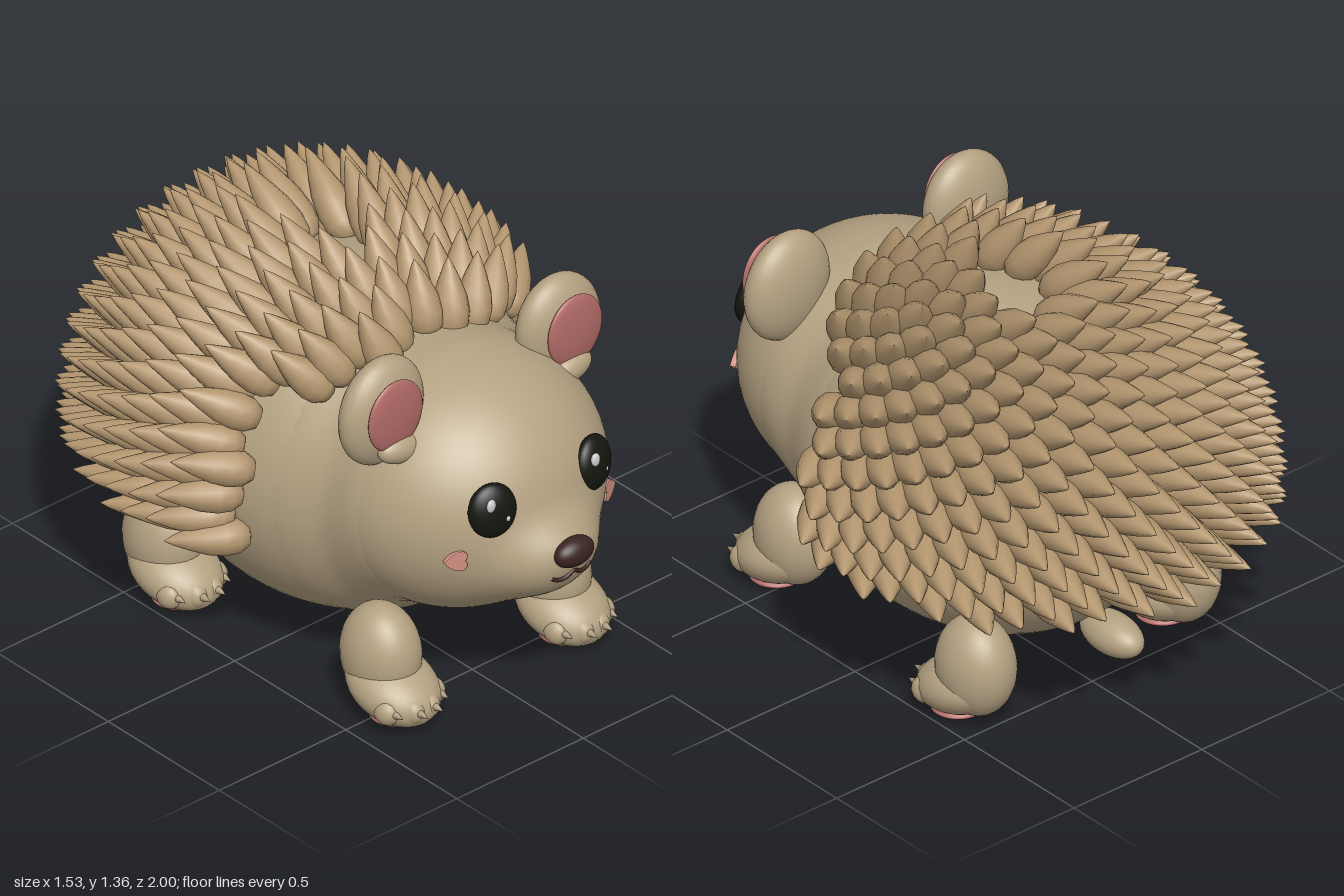
import * as THREE from 'three';
import { mergeGeometries } from 'three/addons/utils/BufferGeometryUtils.js';

const mat = (color) => new THREE.MeshStandardMaterial({ color });
const FUR = mat(0xb5a282), QUILL = mat(0xb3966f), PINK = mat(0xb06a66), BLUSH = mat(0xd08f80);
const DARK = mat(0x14160f), NOSE = mat(0x3a2420), WHITE = mat(0xf2f2f2), CLAW = mat(0xa8977a);
const { lerp, smoothstep } = THREE.MathUtils;

function add(parent, name, geometry, material) {
  const mesh = new THREE.Mesh(geometry, material);
  mesh.name = name;
  parent.add(mesh);
  return mesh;
}

// Ellipsoid at a position with three radii
function blob(parent, name, material, [x, y, z], [rx, ry, rz], seg = 32) {
  const mesh = add(parent, name, new THREE.SphereGeometry(1, seg, Math.round(seg * 0.7)), material);
  mesh.position.set(x, y, z);
  mesh.scale.set(rx, ry, rz);
  return mesh;
}

const BODY = new THREE.Vector3(0, 0.62, -0.05);
const BODY_R = new THREE.Vector3(0.56, 0.55, 0.64);
const HEAD = new THREE.Vector3(0, 0.695, 0.44);
const HEAD_R = new THREE.Vector3(0.45, 0.415, 0.44);

// Round head whose front swells into a blunt snout
function headGeometry() {
  const g = new THREE.SphereGeometry(1, 80, 64);
  g.scale(...HEAD_R.toArray());
  g.translate(...HEAD.toArray());
  const p = g.attributes.position;
  for (let i = 0; i < p.count; i++) {
    const x = p.getX(i), y = p.getY(i), z = p.getZ(i);
    const front = smoothstep(z, 0.45, 0.72);
    const d = Math.hypot(x / 0.19, (y - 0.57) / 0.145);
    p.setZ(i, z + 0.095 * front * Math.exp(-(d ** 3.5)));
  }
  g.computeVertexNormals();
  return g;
}

// Neck: a tube of ellipses that rounds off the crease, its rims tucked under the skin
function neckGeometry() {
  const softMax = (a, b) => 0.5 * (a + b + Math.hypot(a - b, 0.045));
  const slice = (c, r, z) => Math.sqrt(Math.max(0, 1 - ((z - c.z) / r.z) ** 2));
  const g = new THREE.CylinderGeometry(1, 1, 1, 64, 28, true).rotateX(Math.PI / 2);
  const p = g.attributes.position;
  for (let i = 0; i < p.count; i++) {
    const t = p.getZ(i), z = 0.35 + 0.42 * t, tuck = 0.014 * (2 * t) ** 4;
    const b = slice(BODY, BODY_R, z), h = slice(HEAD, HEAD_R, z);
    const top = softMax(BODY.y + BODY_R.y * b, HEAD.y + HEAD_R.y * h) - tuck;
    const bottom = tuck - softMax(BODY_R.y * b - BODY.y, HEAD_R.y * h - HEAD.y);
    const width = softMax(BODY_R.x * b, HEAD_R.x * h) - tuck;
    p.setXYZ(i, p.getX(i) * width, (top + bottom) / 2 + p.getY(i) * (top - bottom) / 2, z);
  }
  g.computeVertexNormals();
  return g;
}

// Teardrop quills in a spiral over the back: short and upright in front, longer and swept behind
function quillGeometry() {
  const profile = [[0, 0], [0.034, 0.01], [0.053, 0.045], [0.059, 0.095], [0.052, 0.16], [0.034, 0.225], [0.014, 0.285], [0, 0.315]];
  const quill = new THREE.LatheGeometry(profile.map(([r, y]) => new THREE.Vector2(r, y)), 12);
  const up = new THREE.Vector3(0, 1, 0);
  const list = [], count = 680, golden = Math.PI * (3 - Math.sqrt(5));
  for (let i = 0; i < count; i++) {
    const h = 1 - (2 * i + 1) / count, r = Math.sqrt(1 - h * h), a = i * golden;
    const root = new THREE.Vector3(r * Math.cos(a), h, r * Math.sin(a)).multiply(BODY_R);
    const normal = root.clone().divide(BODY_R).divide(BODY_R).normalize();
    root.add(BODY);
    const edge = 0.13 + 0.21 * smoothstep(root.y, 0.9, 1.06);
    const bald = (root.x / 0.12) ** 2 + ((root.z + 0.06) / 0.16) ** 2 < 1;
    if (root.y < 0.495 || root.z > edge || bald) continue;
    normal.y = Math.max(normal.y, 0);
    const back = smoothstep(-root.z, -0.3, 0.3);
    const dir = normal.clone().add(new THREE.Vector3(0, 0, -lerp(0.75, 1.1, back))).normalize();
    root.addScaledVector(normal, -0.008);
    const q = new THREE.Quaternion().setFromUnitVectors(up, dir);
    const size = new THREE.Vector3(1, lerp(0.78, 1.02, back), 1);
    list.push(quill.clone().applyMatrix4(new THREE.Matrix4().compose(root, q, size)));
  }
  return mergeGeometries(list);
}

// Small heart lying on its side, tip towards +x
function heartGeometry() {
  const s = new THREE.Shape();
  s.moveTo(0.035, 0);
  s.bezierCurveTo(0.02, 0.02, -0.005, 0.036, -0.022, 0.03);
  s.bezierCurveTo(-0.034, 0.025, -0.034, 0.008, -0.024, 0);
  s.bezierCurveTo(-0.034, -0.008, -0.034, -0.025, -0.022, -0.03);
  s.bezierCurveTo(-0.005, -0.036, 0.02, -0.02, 0.035, 0);
  return new THREE.ExtrudeGeometry(s, {
    depth: 0.012, bevelEnabled: true, bevelSize: 0.003, bevelThickness: 0.004, bevelSegments: 2, curveSegments: 10,
  });
}

// Leg with a rounded foot, toes, claws and a sole pad
function addLeg(parent, name, x, z) {
  const leg = new THREE.Group();
  leg.name = name;
  leg.position.set(x, 0, z);
  parent.add(leg);
  blob(leg, 'upperLeg', FUR, [0, 0.195, 0], [0.115, 0.165, 0.135]);
  blob(leg, 'foot', FUR, [0, 0.107, 0.055], [0.132, 0.092, 0.165]).rotation.x = 0.3;
  blob(leg, 'solePad', PINK, [0, 0.022, 0.075], [0.09, 0.021, 0.085]);
  for (const t of [-1.5, -0.5, 0.5, 1.5]) {
    const tx = t * 0.06, tz = 0.178 - 0.022 * t * t;
    blob(leg, 'toe', FUR, [tx, 0.082, tz], [0.037, 0.043, 0.045], 18);
    const claw = add(leg, 'claw', new THREE.ConeGeometry(0.018, 0.05, 12), CLAW);
    claw.position.set(tx, 0.088, tz + 0.05);
    claw.rotation.x = Math.PI / 2;
  }
}

export function createModel() {
  const model = new THREE.Group();
  model.name = 'hedgehog';

  blob(model, 'body', FUR, BODY.toArray(), BODY_R.toArray(), 56);
  add(model, 'head', headGeometry(), FUR);
  add(model, 'neck', neckGeometry(), FUR);
  add(model, 'quills', quillGeometry(), QUILL);
  blob(model, 'tail', FUR, [0, 0.215, -0.59], [0.07, 0.065, 0.125]);

  // Nose and mouth
  blob(model, 'nose', NOSE, [0, 0.642, 0.957], [0.072, 0.047, 0.042]);
  const lip = [[-0.075, 0.57, 0.942], [-0.056, 0.559, 0.948], [-0.028, 0.56, 0.953], [0, 0.575, 0.956],
    [0.028, 0.56, 0.953], [0.056, 0.559, 0.948], [0.075, 0.57, 0.942]];
  const mouth = new THREE.CatmullRomCurve3(lip.map((p) => new THREE.Vector3(...p)));
  add(model, 'mouth', new THREE.TubeGeometry(mouth, 40, 0.007, 8), NOSE);

  for (const s of [1, -1]) {
    const side = s > 0 ? 'left' : 'right';

    // Eyes with two highlights each
    const eye = blob(model, side + 'Eye', DARK, [s * 0.2, 0.805, 0.817], [0.078, 0.088, 0.038]);
    eye.rotation.set(-0.15, s * 0.28, 0);
    blob(model, side + 'EyeShine', WHITE, [s * 0.2 - 0.022, 0.838, s > 0 ? 0.852 : 0.839], [0.017, 0.023, 0.01], 16);
    blob(model, side + 'EyeGlint', WHITE, [s * 0.2 + 0.026, 0.785, s > 0 ? 0.846 : 0.86], [0.008, 0.009, 0.006], 12);

    // Cheek blush
    const cheek = new THREE.Group();
    add(cheek, side + 'Cheek', heartGeometry(), BLUSH).rotation.z = s > 0 ? 0 : Math.PI;
    cheek.position.set(s * 0.298, 0.645, 0.763);
    cheek.rotation.y = s * 0.45;
    model.add(cheek);

    // Ears
    blob(model, side + 'Ear', FUR, [s * 0.35, 1.065, 0.487], [0.155, 0.18, 0.078]).rotation.z = s * 0.15;
    blob(model, side + 'InnerEar', PINK, [s * 0.355, 1.08, 0.558], [0.106, 0.12, 0.022]);
    blob(model, side + 'EarLobe', FUR, [s * 0.335, 0.955, 0.555], [0.082, 0.046, 0.042]).rotation.z = s * 0.15;

    addLeg(model, side + 'FrontLeg', s * 0.335, 0.47);
    addLeg(model, side + 'BackLeg', s * 0.4, -0.435);
  }
  return model;
}
